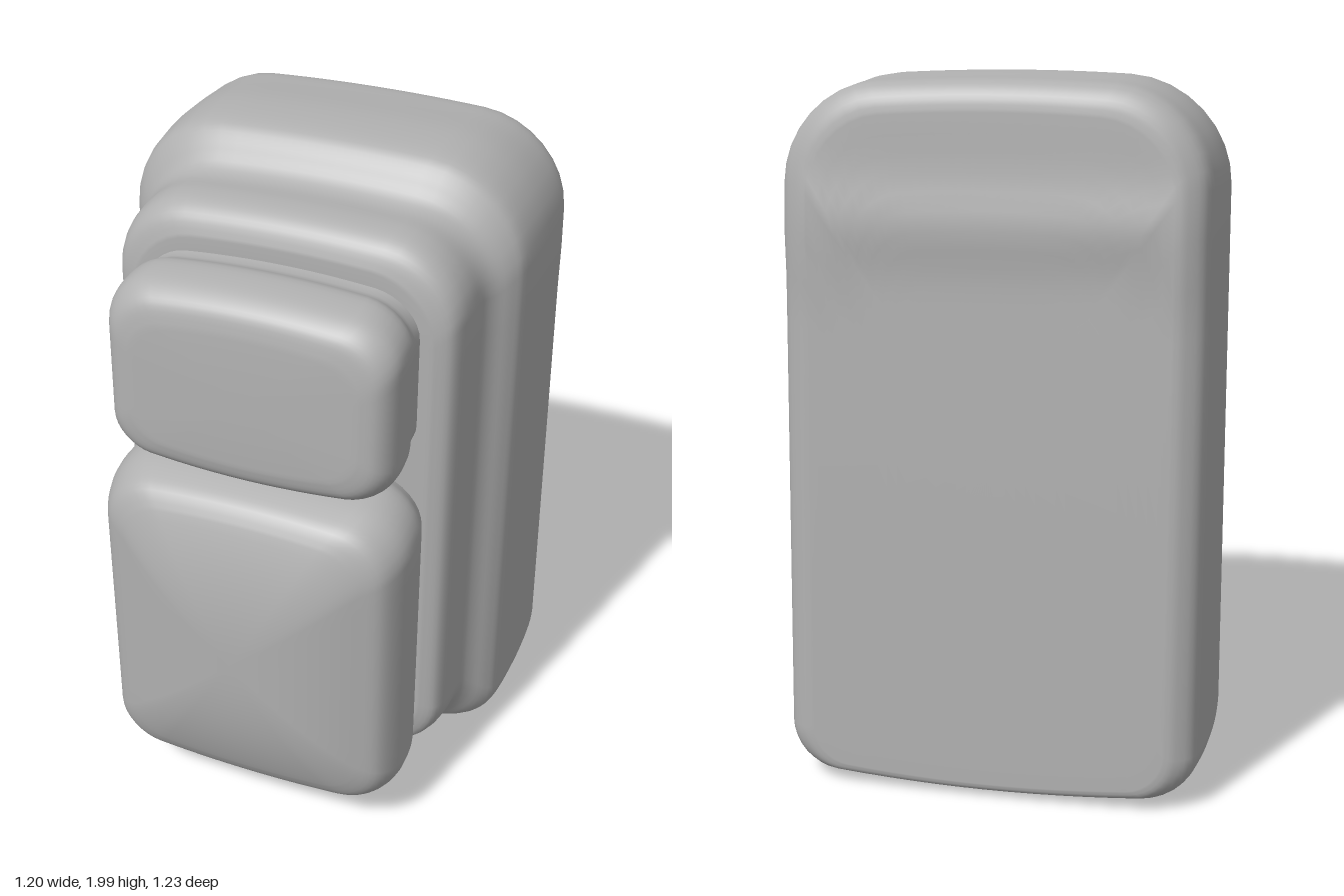
import * as THREE from 'three';

const CORNER = 8, EDGE = 12, STEPS = 4, CAP = 18;

// Rounded rectangle, counter-clockwise, with separate top and bottom radii and a crowned top and bottom
function ring(hw, y0, y1, rTop, rBot, crown) {
  const corners = [
    [hw - rTop, y1 - rTop, rTop, 0],
    [-hw + rTop, y1 - rTop, rTop, 1],
    [-hw + rBot, y0 + rBot, rBot, 2],
    [hw - rBot, y0 + rBot, rBot, 3],
  ];
  const arcs = corners.map(([cx, cy, r, q]) => {
    const pts = [];
    for (let i = 0; i <= CORNER; i++) {
      const a = (q + i / CORNER) * Math.PI / 2;
      pts.push(new THREE.Vector2(cx + r * Math.cos(a), cy + r * Math.sin(a)));
    }
    return pts;
  });
  const out = [];
  arcs.forEach((arc, k) => {
    out.push(...arc);
    const from = arc[CORNER], to = arcs[(k + 1) % 4][0];
    for (let i = 1; i < EDGE; i++) out.push(from.clone().lerp(to, i / EDGE));
  });
  const mid = (y0 + y1) / 2, hh = (y1 - y0) / 2;
  out.forEach(p => { p.y -= crown * (p.x / hw) ** 2 * (p.y - mid) / hh; });
  return out;
}

// Catmull-Rom blend of whole section rows
function blend(rows, i, t) {
  const at = k => rows[Math.min(Math.max(k, 0), rows.length - 1)];
  const [a, b, c, d] = [at(i - 1), at(i), at(i + 1), at(i + 2)];
  return b.map((_, k) => 0.5 * (2 * b[k] + (c[k] - a[k]) * t
    + (2 * a[k] - 5 * b[k] + 4 * c[k] - d[k]) * t * t
    + (3 * b[k] - a[k] - 3 * c[k] + d[k]) * t * t * t));
}

// Soft pad lofted from back to front; rows are [z, halfWidth, bottom, top, topRadius, bottomRadius]
function pad(name, rows, { crown = 0.02, bulge = 0, deform = null }, material) {
  const sections = [];
  for (let i = 0; i < rows.length - 1; i++)
    for (let s = 0; s < STEPS; s++) sections.push(blend(rows, i, s / STEPS));
  sections.push(rows[rows.length - 1]);

  const pos = [], index = [];
  let n = 0, count = 0;
  const addRing = (row, scale, lift) => {
    const [z, hw, y0, y1, rt, rb] = row;
    const mid = (y0 + y1) / 2;
    const pts = ring(hw, y0, y1, rt, rb, crown);
    n = pts.length;
    for (const p of pts) {
      const v = new THREE.Vector3(p.x * scale, mid + (p.y - mid) * scale, z + lift);
      if (deform) deform(v);
      pos.push(v.x, v.y, v.z);
    }
    count++;
  };
  for (let i = 0; i < CAP; i++) addRing(sections[0], Math.max(i / CAP, 0.001), 0);
  sections.forEach(row => addRing(row, 1, 0));
  for (let i = CAP - 1; i >= 0; i--) {
    const s = Math.max(i / CAP, 0.001);
    addRing(sections[sections.length - 1], s, bulge * (1 - s ** 2.4));
  }
  for (let i = 0; i < count - 1; i++)
    for (let j = 0; j < n; j++) {
      const k = (j + 1) % n;
      const a = i * n + j, b = i * n + k, c = a + n, d = b + n;
      index.push(a, b, d, a, d, c);
    }
  const geo = new THREE.BufferGeometry();
  geo.setAttribute('position', new THREE.Float32BufferAttribute(pos, 3));
  geo.setIndex(index);
  geo.computeVertexNormals();
  const mesh = new THREE.Mesh(geo, material);
  mesh.name = name;
  return mesh;
}

export function createModel() {
  const group = new THREE.Group();
  group.name = 'backpack';
  const fabric = new THREE.MeshStandardMaterial({ color: 0xb0b0b0 });
  fabric.name = 'grey fabric';

  // Main compartment stepping in to the shallower front compartment
  group.add(pad('mainBody', [
    [-0.615, 0.50, 0.05, 1.90, 0.20, 0.10],
    [-0.605, 0.535, 0.03, 1.945, 0.22, 0.11],
    [-0.56, 0.58, 0.02, 1.98, 0.25, 0.12],
    [-0.45, 0.597, 0.015, 1.99, 0.27, 0.13],
    [-0.28, 0.60, 0.01, 2.00, 0.28, 0.13],
    [-0.12, 0.592, 0.01, 1.99, 0.28, 0.14],
    [-0.06, 0.57, 0.025, 1.96, 0.27, 0.15],
    [-0.01, 0.535, 0.06, 1.905, 0.24, 0.17],
    [0.04, 0.515, 0.09, 1.88, 0.21, 0.18],
    [0.12, 0.512, 0.10, 1.88, 0.21, 0.18],
    [0.18, 0.505, 0.11, 1.87, 0.21, 0.18],
    [0.22, 0.485, 0.125, 1.84, 0.20, 0.17],
    [0.24, 0.44, 0.16, 1.79, 0.18, 0.15],
  ], {
    crown: 0.03,
    // Back panel leans forward towards the top, with a soft ridge across the shoulders
    deform: v => {
      const t = THREE.MathUtils.clamp(-v.z / 0.6, 0, 1);
      v.z += t * 0.042 * v.y - t ** 6 * 0.016 * Math.exp(-(((v.y - 1.6) / 0.09) ** 2));
    },
  }, fabric));

  // Large bulging pocket
  group.add(pad('lowerPocket', [
    [0.18, 0.42, 0.13, 1.14, 0.14, 0.12],
    [0.25, 0.435, 0.12, 1.17, 0.14, 0.12],
    [0.31, 0.455, 0.11, 1.19, 0.15, 0.13],
    [0.40, 0.46, 0.11, 1.18, 0.15, 0.13],
    [0.47, 0.445, 0.12, 1.16, 0.15, 0.13],
    [0.52, 0.415, 0.15, 1.135, 0.14, 0.12],
    [0.55, 0.36, 0.20, 1.09, 0.12, 0.10],
  ], { crown: 0.025, bulge: 0.072 }, fabric));

  // Small pocket above it
  group.add(pad('upperPocket', [
    [0.18, 0.41, 1.23, 1.76, 0.13, 0.10],
    [0.27, 0.405, 1.215, 1.75, 0.13, 0.10],
    [0.33, 0.418, 1.19, 1.768, 0.13, 0.11],
    [0.41, 0.42, 1.185, 1.76, 0.13, 0.11],
    [0.46, 0.405, 1.195, 1.74, 0.13, 0.11],
    [0.49, 0.375, 1.22, 1.71, 0.12, 0.10],
    [0.502, 0.33, 1.26, 1.66, 0.10, 0.09],
  ], {
    crown: 0.03,
    bulge: 0.005,
    // Slight sag towards the lower edge
    deform: v => { if (v.z > 0.4) v.z += 0.03 * (1.45 - v.y) * (v.z - 0.4) / 0.1; },
  }, fabric));

  return group;
}
